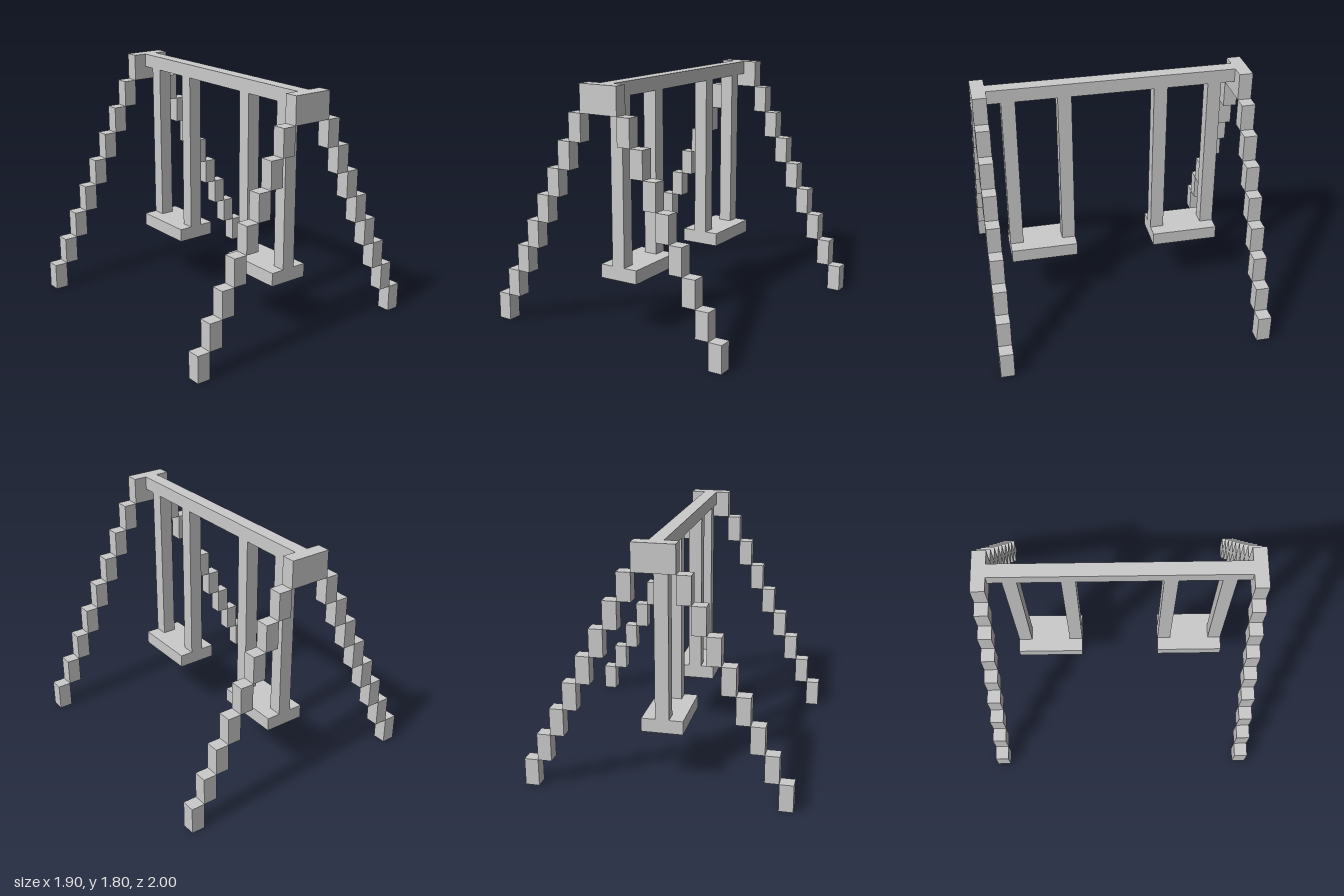
import * as THREE from 'three';

const material = new THREE.MeshStandardMaterial({ color: 0xcccccc, flatShading: true });

function box(parent, name, [w, h, d], [x, y, z]) {
  const mesh = new THREE.Mesh(new THREE.BoxGeometry(w, h, d), material);
  mesh.name = name;
  mesh.position.set(x, y, z);
  parent.add(mesh);
}

function group(parent, name) {
  const g = new THREE.Group();
  g.name = name;
  parent.add(g);
  return g;
}

export function createModel() {
  const model = new THREE.Group();
  model.name = 'swingSet';

  // Top beam between the two end frames
  box(model, 'topBeam', [0.1, 0.1, 1.8], [0, 1.75, 0]);

  for (const [end, sz] of [['front', 1], ['back', -1]]) {
    // End frame: a cap block with two legs stepping outward to the ground
    const frame = group(model, end + 'Frame');
    box(frame, 'frameCap', [0.3, 0.2, 0.1], [0, 1.7, 0.95 * sz]);
    for (const [side, sx] of [['left', 1], ['right', -1]]) {
      const leg = group(frame, side + 'Leg');
      for (let i = 0; i < 8; i++) {
        box(leg, 'legBlock', [0.1, 0.2, 0.1], [sx * (0.9 - 0.1 * i), 0.1 + 0.2 * i, 0.95 * sz]);
      }
    }

    // Swing: a flat seat hung from two posts
    const swing = group(model, end + 'Swing');
    box(swing, 'seat', [0.3, 0.1, 0.5], [0, 0.45, 0.55 * sz]);
    for (const z of [0.35, 0.75]) {
      box(swing, 'hanger', [0.1, 1.2, 0.1], [0, 1.1, z * sz]);
    }
  }
  return model;
}
